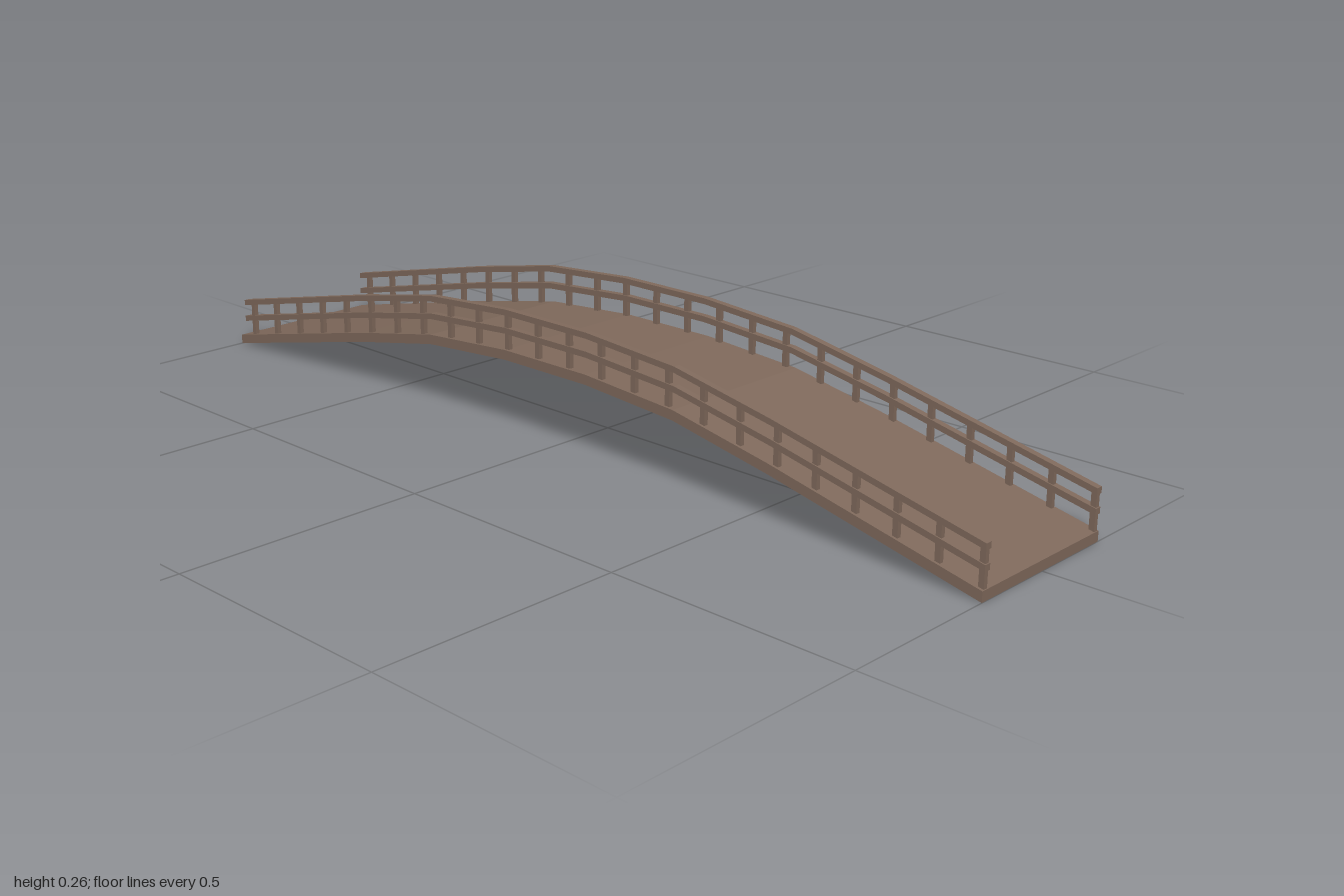
import * as THREE from 'three';

// Arch profile of the deck's top edge, mirrored about x = 0
const HALF = [[0.111, 0.177], [0.333, 0.161], [0.556, 0.118], [0.778, 0.069], [1, 0.02]];
const ARCH = [...HALF.map(([x, y]) => [-x, y]).reverse(), ...HALF];

// Deck height at any x
function deckY(x) {
  const i = Math.max(1, ARCH.findIndex(p => p[0] >= x - 1e-6));
  const [x0, y0] = ARCH[i - 1], [x1, y1] = ARCH[i];
  return y0 + (y1 - y0) * (x - x0) / (x1 - x0);
}

// Band following the arch from x = start to x = 1, between two height offsets
function archBand(start, low, high, width) {
  const xs = [start, ...ARCH.map(p => p[0]).filter(x => x > start + 1e-6)];
  const upper = xs.map(x => new THREE.Vector2(x, deckY(x) + high));
  const lower = xs.map(x => new THREE.Vector2(x, deckY(x) + low)).reverse();
  const shape = new THREE.Shape([...lower, ...upper]);
  return new THREE.ExtrudeGeometry(shape, { depth: width, bevelEnabled: false })
    .translate(0, 0, -width / 2);
}

export function createModel() {
  const bridge = new THREE.Group();
  bridge.name = 'footbridge';
  const wood = new THREE.MeshStandardMaterial({ color: 0x806a5c });
  wood.name = 'brown wood';

  const add = (parent, name, geometry) => {
    const mesh = new THREE.Mesh(geometry, wood);
    mesh.name = name;
    parent.add(mesh);
    return mesh;
  };

  // Walkway
  add(bridge, 'deck', archBand(-1, -0.02, 0, 0.348));

  // Railings along both edges
  for (const [name, z] of [['frontRailing', 0.164], ['backRailing', -0.166]]) {
    const railing = new THREE.Group();
    railing.name = name;
    railing.position.z = z;
    add(railing, 'topRail', archBand(-0.985, 0.069, 0.081, 0.014));
    add(railing, 'middleRail', archBand(-0.985, 0.032, 0.044, 0.014));

    // Upright posts, evenly spaced
    const count = 24, first = -0.957, last = 0.993;
    for (let i = 0; i < count; i++) {
      const x = first + (last - first) * i / (count - 1);
      const post = add(railing, 'post', new THREE.BoxGeometry(0.011, 0.08, 0.009));
      post.position.set(x, deckY(x) + 0.035, 0);
    }
    bridge.add(railing);
  }
  return bridge;
}
